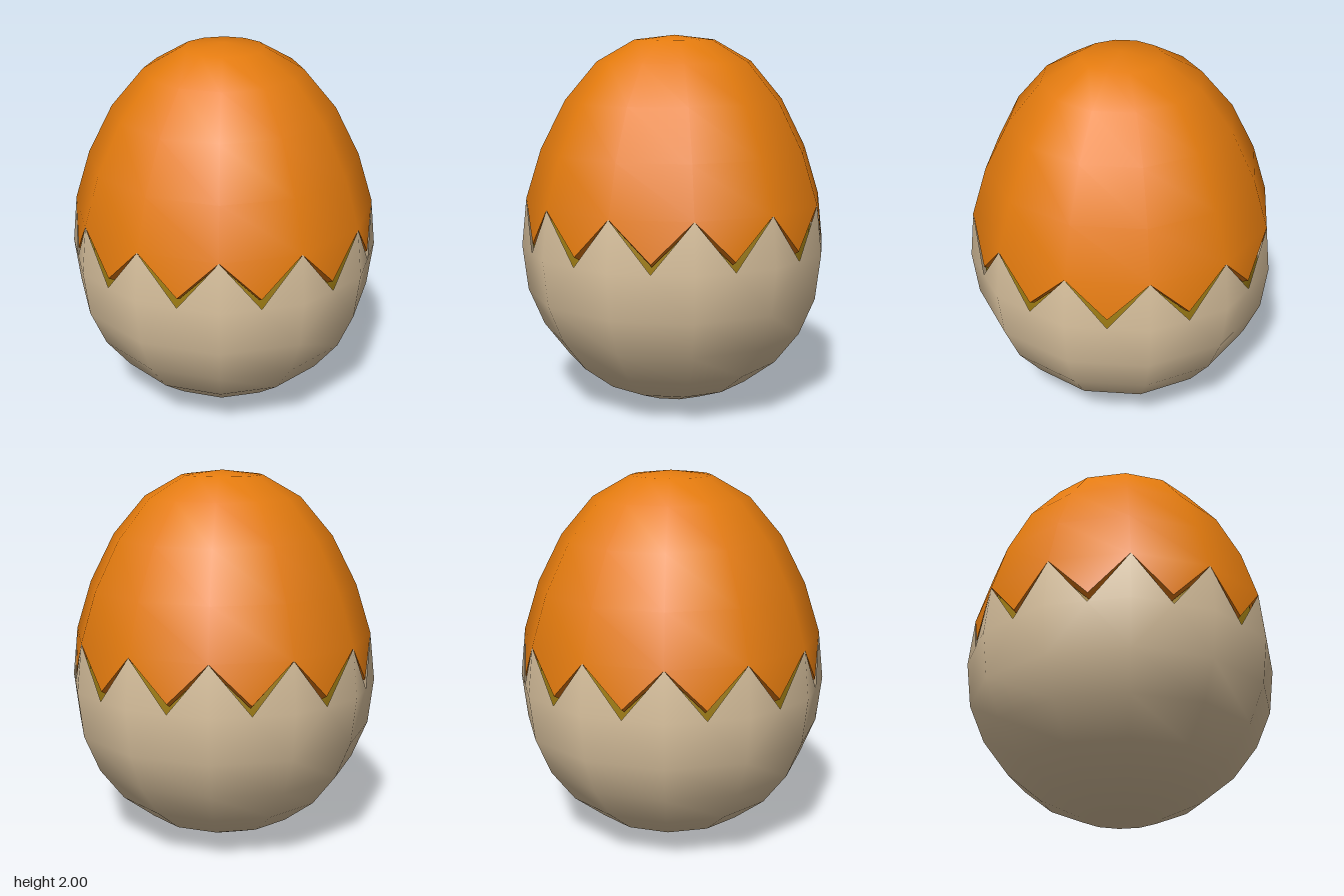
import * as THREE from 'three';

const SIDES = 12;
const RADIUS = 0.836;
const EQUATOR = 0.87;
// Heights of the egg's rings from top pole to bottom pole
const HEIGHTS = [2, 1.975, 1.86, 1.655, 1.395, 1.13, EQUATOR, 0.625, 0.425, 0.25, 0.115, 0.03, 0];

// Point on a ring; half steps of j fall on the middle of a polygon edge
function ringPoint(k, j, scale = 1, y = HEIGHTS[k]) {
  const angle = (j + 0.5) * Math.PI * 2 / SIDES;
  const onEdge = j % 1 ? Math.cos(Math.PI / SIDES) : 1;
  const r = RADIUS * Math.sin(k * Math.PI / 12) * onEdge * scale;
  return [r * Math.sin(angle), y, r * Math.cos(angle)];
}

// Collects faces, sharing equal corners so the surface shades smoothly
function surface() {
  const positions = [], index = [], seen = new Map();
  const add = (p) => {
    const key = p.map((v) => Math.round(v * 1e4) + 0).join();
    if (!seen.has(key)) {
      seen.set(key, positions.length / 3);
      positions.push(...p);
    }
    return seen.get(key);
  };
  const tri = (a, b, c) => index.push(add(a), add(b), add(c));
  const quad = (a, b, c, d) => { tri(a, b, c); tri(a, c, d); };
  const build = () => {
    const g = new THREE.BufferGeometry();
    g.setAttribute('position', new THREE.Float32BufferAttribute(positions, 3));
    g.setIndex(index);
    g.computeVertexNormals();
    return g;
  };
  return { tri, quad, build };
}

// Bands of the egg between two rings, closing to a fan at the poles
function addBands(s, from, to) {
  for (let k = from; k < to; k++) {
    for (let j = 0; j < SIDES; j++) {
      const a = ringPoint(k, j), b = ringPoint(k + 1, j);
      const c = ringPoint(k + 1, j + 1), d = ringPoint(k, j + 1);
      if (k === 0) s.tri(a, b, c);
      else if (k === 11) s.tri(a, b, d);
      else s.quad(a, b, c, d);
    }
  }
}

function lowerShell() {
  const s = surface();
  addBands(s, 7, 12);
  for (let j = 0; j < SIDES; j++) {
    const corner = ringPoint(6, j), next = ringPoint(6, j + 1);
    const valley = ringPoint(6, j + 0.5), before = ringPoint(6, j - 0.5);
    const low = ringPoint(7, j), lowNext = ringPoint(7, j + 1);
    s.tri(corner, low, valley);
    s.tri(valley, low, lowNext);
    s.tri(valley, lowNext, next);
    // Pointed tooth above the corner
    const peak = ringPoint(5, j);
    s.tri(peak, before, corner);
    s.tri(peak, corner, valley);
  }
  return s.build();
}

const lidTip = (j) => ringPoint(6, j + 0.5, 0.994, 0.92);

function upperLid() {
  const s = surface();
  addBands(s, 0, 5);
  for (let j = 0; j < SIDES; j++) s.tri(ringPoint(5, j), lidTip(j), ringPoint(5, j + 1));
  return s.build();
}

// Inward bevel along the zigzag edge of the lid
function lidBevel() {
  const s = surface();
  for (let j = 0; j < SIDES; j++) {
    const left = ringPoint(5, j), right = ringPoint(5, j + 1);
    const innerLeft = ringPoint(5, j, 0.95, 1.1), innerRight = ringPoint(5, j + 1, 0.95, 1.1);
    const tip = lidTip(j), innerTip = ringPoint(6, j + 0.5, 0.95, 0.9);
    s.quad(left, innerLeft, innerTip, tip);
    s.quad(tip, innerTip, innerRight, right);
  }
  return s.build();
}

function innerCore() {
  const s = surface();
  addBands(s, 0, 12);
  return s.build().translate(0, -EQUATOR, 0).scale(0.93, 0.93, 0.93).translate(0, EQUATOR, 0);
}

export function createModel() {
  const material = (name, color) => {
    const m = new THREE.MeshStandardMaterial({ color, side: THREE.DoubleSide });
    m.name = name;
    return m;
  };
  const cream = material('cream', 0xdcc4a0);
  const orange = material('orange', 0xe47b0e);
  const olive = material('darkYellow', 0xa07e14);

  const group = new THREE.Group();
  group.name = 'crackedEgg';
  const part = (name, geometry, mat) => {
    const mesh = new THREE.Mesh(geometry, mat);
    mesh.name = name;
    group.add(mesh);
  };
  part('lowerShell', lowerShell(), cream);
  part('upperLid', upperLid(), orange);
  part('lidBevel', lidBevel(), orange);
  part('innerCore', innerCore(), olive);
  return group;
}
